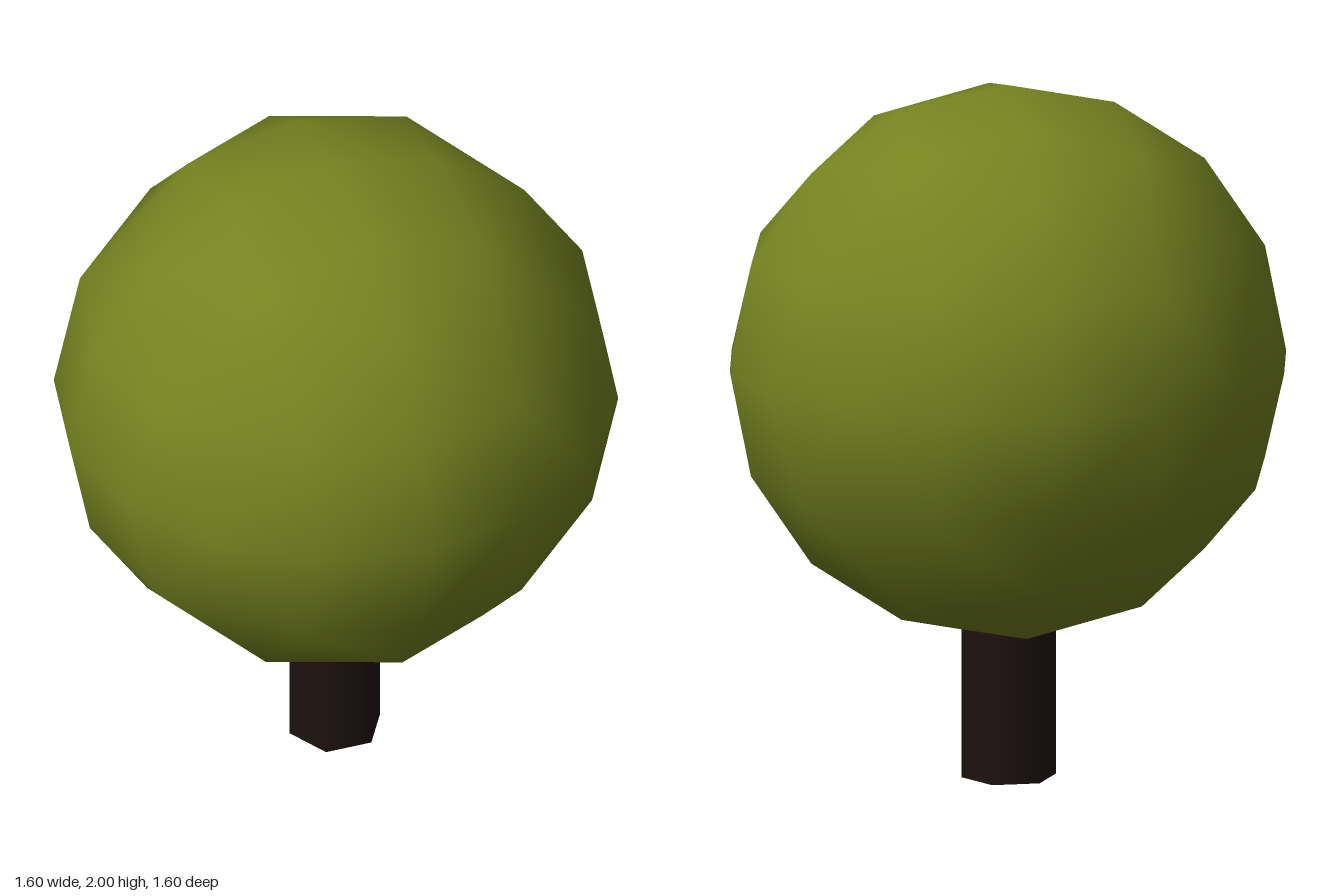
import * as THREE from 'three';

// Sphere made by halving the edges of an octahedron, with smooth normals
function octaSphere(radius, levels) {
  const source = new THREE.OctahedronGeometry(1, 0).getAttribute('position');
  let points = [];
  for (let i = 0; i < source.count; i++) points.push(new THREE.Vector3().fromBufferAttribute(source, i));
  const middle = (a, b) => a.clone().add(b).normalize();
  for (let level = 0; level < levels; level++) {
    const next = [];
    for (let i = 0; i < points.length; i += 3) {
      const [a, b, c] = points.slice(i, i + 3);
      const ab = middle(a, b), bc = middle(b, c), ca = middle(c, a);
      next.push(a, ab, ca, ab, b, bc, ca, bc, c, ab, bc, ca);
    }
    points = next;
  }
  const geometry = new THREE.BufferGeometry().setFromPoints(points);
  geometry.setAttribute('normal', geometry.getAttribute('position').clone());
  geometry.getAttribute('position').applyMatrix4(new THREE.Matrix4().makeScale(radius, radius, radius));
  return geometry;
}

export function createModel() {
  const tree = new THREE.Group();
  tree.name = 'tree';

  // Round leafy crown
  const crown = new THREE.Mesh(
    octaSphere(0.8, 2),
    new THREE.MeshStandardMaterial({ color: 0x758320 })
  );
  crown.name = 'crown';
  crown.position.y = 1.2;
  tree.add(crown);

  // Six-sided trunk with corners on the x axis, reaching into the crown
  const trunkHeight = 0.6;
  const trunk = new THREE.Mesh(
    new THREE.CylinderGeometry(0.136, 0.136, trunkHeight, 6, 1, false, Math.PI / 2),
    new THREE.MeshStandardMaterial({ color: 0x1e1210 })
  );
  trunk.name = 'trunk';
  trunk.position.set(0, trunkHeight / 2, -0.01);
  tree.add(trunk);

  return tree;
}
